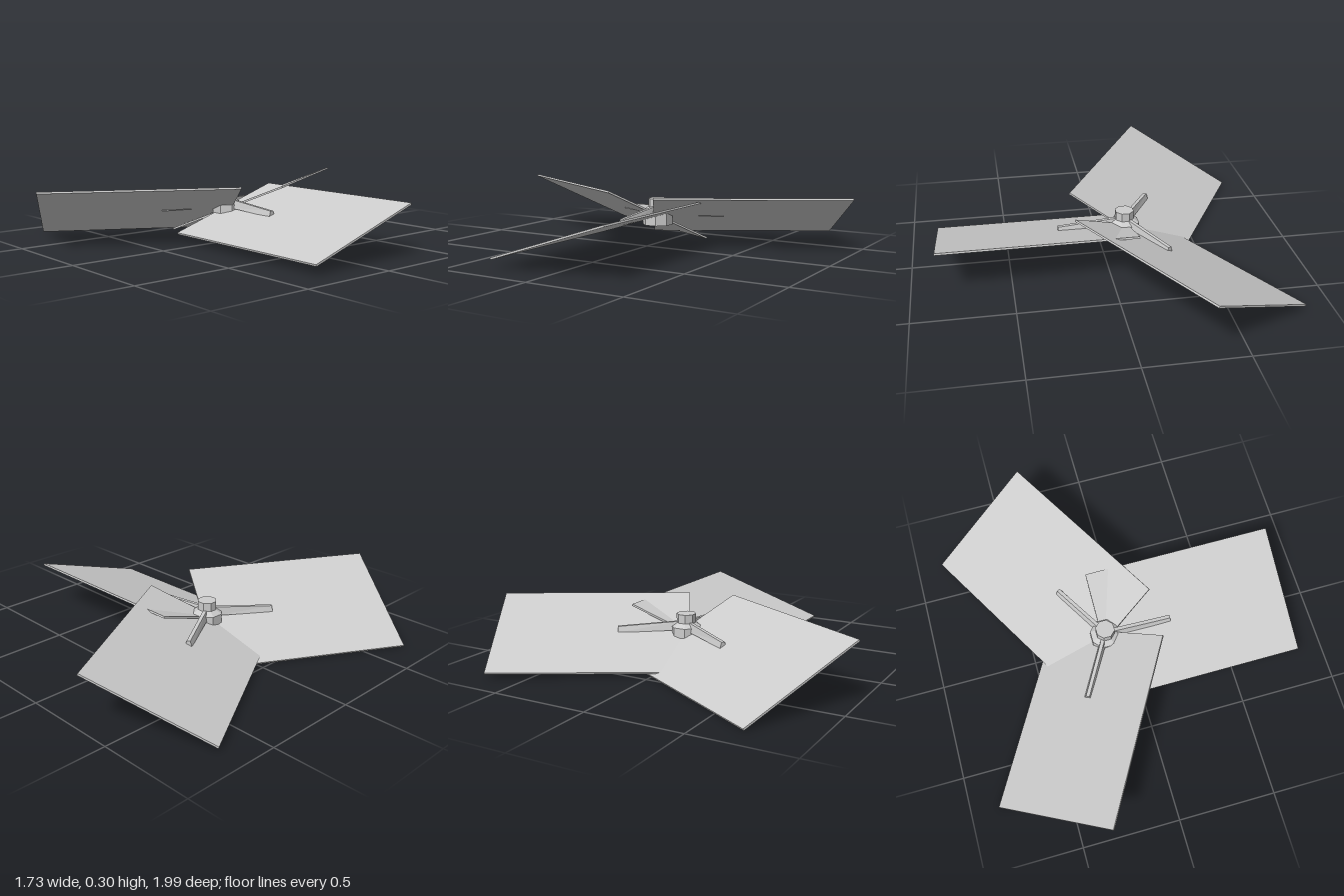
import * as THREE from 'three';

const metal = new THREE.MeshStandardMaterial({ color: 0xcccccc });
metal.name = 'lightGrey';

function flatMesh(geometry, name) {
  const g = geometry.index ? geometry.toNonIndexed() : geometry;
  g.computeVertexNormals();
  const mesh = new THREE.Mesh(g, metal);
  mesh.name = name;
  return mesh;
}

// Arm: bar with a narrow top, dropping and thinning towards its tip
function armGeometry() {
  const g = new THREE.BoxGeometry(1, 1, 1);
  const p = g.attributes.position;
  for (let i = 0; i < p.count; i++) {
    const tip = p.getX(i) > 0;
    const top = p.getY(i) > 0;
    const side = Math.sign(p.getZ(i));
    const y = tip ? (top ? 0.178 : 0.148) : (top ? 0.205 : 0.16);
    p.setXYZ(i, tip ? 0.35 : 0.03, y, side * (top ? 0.009 : 0.018));
  }
  return g;
}

export function createModel() {
  const root = new THREE.Group();
  root.name = 'propeller';
  const rotor = new THREE.Group();
  rotor.name = 'rotor';
  rotor.position.x = -0.11;
  root.add(rotor);

  // Eight-sided hub with a narrower cap
  const profile = [[0, 0.105], [0.08, 0.105], [0.08, 0.18], [0.05, 0.2], [0.05, 0.245], [0, 0.245]]
    .map(([r, y]) => new THREE.Vector2(r, y));
  rotor.add(flatMesh(new THREE.LatheGeometry(profile, 8, Math.PI / 8), 'hub'));

  // Three blades, each with its own pitch, and the arms that hold them
  [18, -22.5, 25.8].forEach((pitch, i) => {
    const spoke = new THREE.Group();
    spoke.name = `spoke${i + 1}`;
    spoke.rotation.y = (i * 2 * Math.PI) / 3;

    const blade = flatMesh(new THREE.BoxGeometry(0.995, 0.01, 0.666), 'blade');
    blade.position.set(0.4775, 0.152, 0);
    blade.rotation.x = THREE.MathUtils.degToRad(pitch);

    spoke.add(blade, flatMesh(armGeometry(), 'arm'));
    rotor.add(spoke);
  });
  return root;
}
